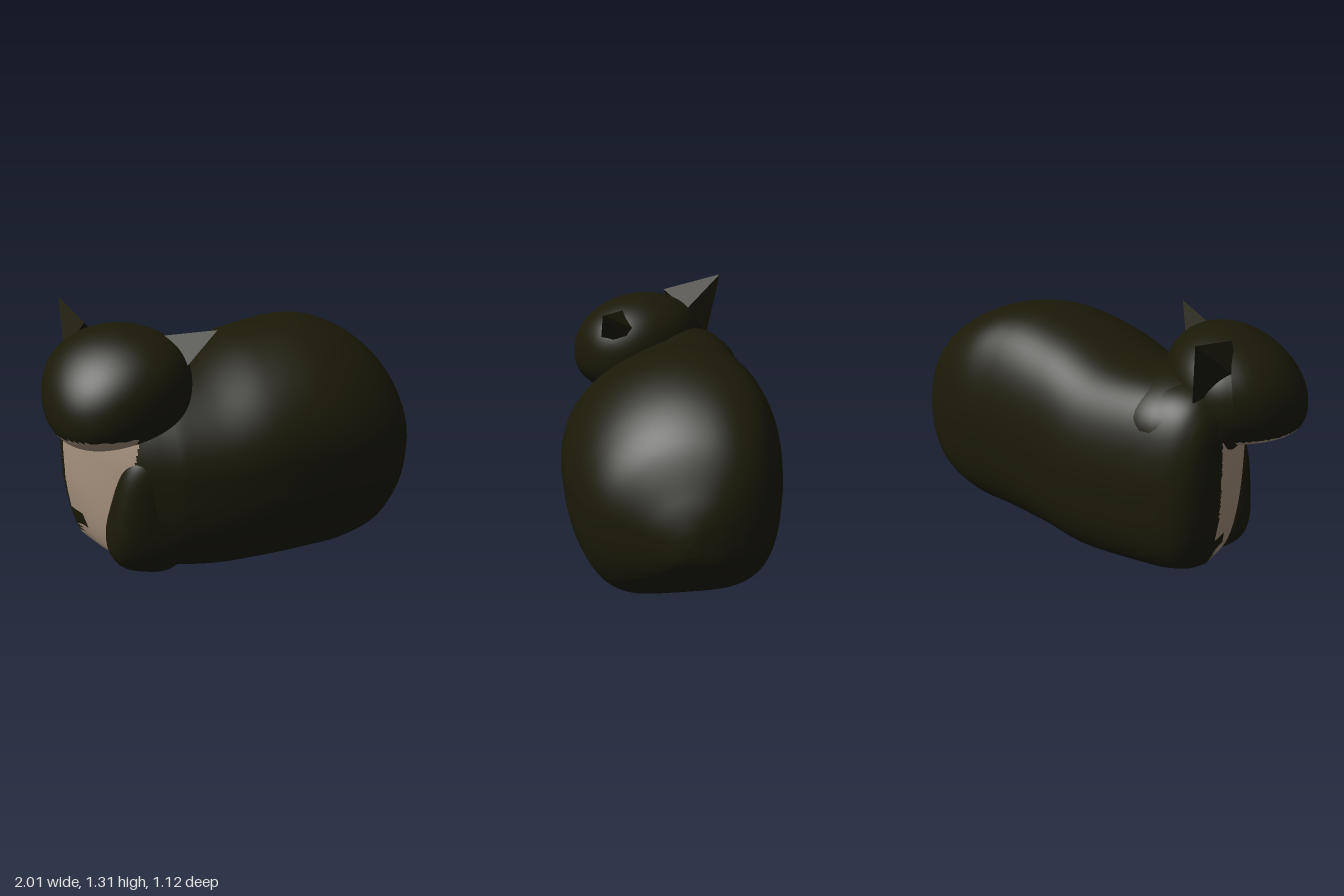
import * as THREE from 'three';
import { ConvexGeometry } from 'three/addons/geometries/ConvexGeometry.js';

const fur = new THREE.MeshStandardMaterial({ color: 0x1b1a08 });
fur.name = 'dark fur';
const pale = new THREE.MeshStandardMaterial({ color: 0xa8937f });
pale.name = 'pale fur';

const power = (v, e) => Math.sign(v) * Math.abs(v) ** e;

// Sorts the faces into dark and pale groups by where their centres lie
function paintFaces(geometry, isPale) {
  const pos = geometry.attributes.position;
  const index = geometry.index.array;
  const sets = [[], []];
  const a = new THREE.Vector3(), c = new THREE.Vector3();
  for (let i = 0; i < index.length; i += 3) {
    c.set(0, 0, 0);
    for (let k = 0; k < 3; k++) c.add(a.fromBufferAttribute(pos, index[i + k]));
    c.divideScalar(3);
    sets[isPale(c) ? 1 : 0].push(index[i], index[i + 1], index[i + 2]);
  }
  geometry.setIndex([...sets[0], ...sets[1]]);
  geometry.clearGroups();
  geometry.addGroup(0, sets[0].length, 0);
  geometry.addGroup(sets[0].length, sets[1].length, 1);
  return geometry;
}

// Crouched body: rounded cross-sections along x
function bodyGeometry() {
  // x, bottom, top, back z, front z
  const stations = [
    [-0.87, 0.6, 0.6, -0.03, -0.03],
    [-0.855, 0.36, 0.88, -0.2, 0.17],
    [-0.8, 0.13, 1.0, -0.29, 0.33],
    [-0.7, 0.06, 1.05, -0.35, 0.41],
    [-0.53, 0.03, 1.06, -0.4, 0.46],
    [-0.23, 0, 1.07, -0.47, 0.52],
    [0.04, 0.01, 1.14, -0.49, 0.545],
    [0.3, 0.02, 1.18, -0.52, 0.525],
    [0.5, 0.03, 1.15, -0.55, 0.485],
    [0.7, 0.08, 1.05, -0.53, 0.4],
    [0.85, 0.2, 0.9, -0.46, 0.27],
    [0.95, 0.32, 0.69, -0.32, 0.06],
    [0.99, 0.4, 0.56, -0.2, -0.06],
    [1.0, 0.47, 0.47, -0.13, -0.13],
  ];
  const spline = (f) => new THREE.CatmullRomCurve3(stations.map(f), false, 'catmullrom', 0.5);
  const heights = spline((s) => new THREE.Vector3(s[0], s[1], s[2]));
  const widths = spline((s) => new THREE.Vector3(s[0], s[3], s[4]));
  const rings = 130, sides = 96;
  const points = [], index = [];
  for (let i = 0; i <= rings; i++) {
    const h = heights.getPoint(i / rings), w = widths.getPoint(i / rings);
    const cy = (h.y + h.z) / 2, ry = (h.z - h.y) / 2;
    const cz = (w.y + w.z) / 2, rz = (w.z - w.y) / 2;
    for (let j = 0; j < sides; j++) {
      const t = (j / sides) * Math.PI * 2;
      const c = Math.cos(t), s = Math.sin(t);
      const e = s < 0 ? 0.5 : 0.95; // squarer underneath
      const v = power(s, e);
      let z = rz * power(c, e);
      // lower half tapers, upper ridge leans to the back
      if (s < 0) z *= 1 - (c > 0 ? 0.22 : 0.1) * (-v) ** 1.5;
      else z -= 0.22 * rz * s * s;
      z += cz;
      let y = cy + ry * v;
      if (s < 0) y += 0.1 * Math.max(0, 0.28 - z) * -v * Math.min(1, ry * 2);
      // chest slants towards the front right
      const slant = THREE.MathUtils.clamp((-0.4 - h.x) / 0.4, 0, 1);
      points.push(h.x + 0.35 * Math.max(0, z + 0.05) * slant, y, z);
      if (i < rings) {
        const n = (j + 1) % sides;
        const p = i * sides + j, q = i * sides + n;
        index.push(p, p + sides, q, q, p + sides, q + sides);
      }
    }
  }
  const g = new THREE.BufferGeometry();
  g.setAttribute('position', new THREE.Float32BufferAttribute(points, 3));
  g.setIndex(index);
  g.computeVertexNormals();
  return paintFaces(g, ({ x, y, z }) => {
    const bib = y > (z < 0.05 ? 0.28 : 0.12) && y < 0.85 && z > -0.06 && x < -0.6 - 0.18 * (0.7 - y);
    const belly = y < 0.2 && x < -0.3 - 0.2 * (z + 0.1) && z < 0.3
      && z > -0.2 + Math.max(0, -0.58 - x) * 0.8;
    return bib || belly;
  });
}

// Tucked foreleg: a squarish lump leaning back towards the shoulder
function forelegGeometry() {
  const g = new THREE.SphereGeometry(1, 48, 32);
  const pos = g.attributes.position;
  for (let i = 0; i < pos.count; i++) {
    const y = power(pos.getY(i), 0.6);
    const x = power(pos.getX(i), 0.7), z = power(pos.getZ(i), 0.7);
    pos.setXYZ(i, -0.5 + 0.21 * x + 0.06 * y, 0.35 + 0.32 * y - 0.04 * x, 0.28 + 0.14 * z + 0.03 * y);
  }
  g.computeVertexNormals();
  return g;
}

// Head: a full-browed ellipsoid turned to the front right with a lowered muzzle
function headGeometry() {
  const g = new THREE.SphereGeometry(1, 64, 48);
  const pos = g.attributes.position;
  for (let i = 0; i < pos.count; i++) {
    const x = pos.getX(i), y = pos.getY(i), z = pos.getZ(i);
    const front = Math.max(0, z);
    pos.setXYZ(
      i,
      x * 0.36 * (1 - 0.1 * front * front),
      power(y, 0.88) * 0.28 - 0.09 * front * front,
      z * (z > 0 ? 0.395 : 0.29) - 0.02 * y,
    );
  }
  g.rotateY(-0.75);
  g.translate(-0.64, 0.97, 0.2);
  g.computeVertexNormals();
  return paintFaces(g, ({ x, y }) => y < 0.78 && x < -0.63);
}

// Neck: fills the nape between head and back
function neckGeometry() {
  const g = new THREE.SphereGeometry(1, 40, 28);
  g.scale(0.32, 0.24, 0.34);
  g.translate(-0.55, 0.84, 0);
  return g;
}

const ears = {
  rightEar: [[-0.83, 1.32, -0.23], [-0.86, 1.1, 0.03], [-0.77, 1.245, 0.08], [-0.69, 1.15, -0.05], [-0.76, 1.0, -0.16]],
  leftEar: [[-0.2, 1.225, 0.36], [-0.52, 1.19, 0.25], [-0.29, 1.09, 0.29], [-0.43, 1.0, 0.4], [-0.42, 1.08, 0.16]],
};

export function createModel() {
  const model = new THREE.Group();
  model.name = 'crouchingCat';
  const add = (name, geometry, material) => {
    const mesh = new THREE.Mesh(geometry, material);
    mesh.name = name;
    model.add(mesh);
  };
  add('body', bodyGeometry(), [fur, pale]);
  add('foreleg', forelegGeometry(), fur);
  add('head', headGeometry(), [fur, pale]);
  add('neck', neckGeometry(), fur);
  for (const [name, corners] of Object.entries(ears)) {
    add(name, new ConvexGeometry(corners.map((p) => new THREE.Vector3(...p))), fur);
  }
  return model;
}
